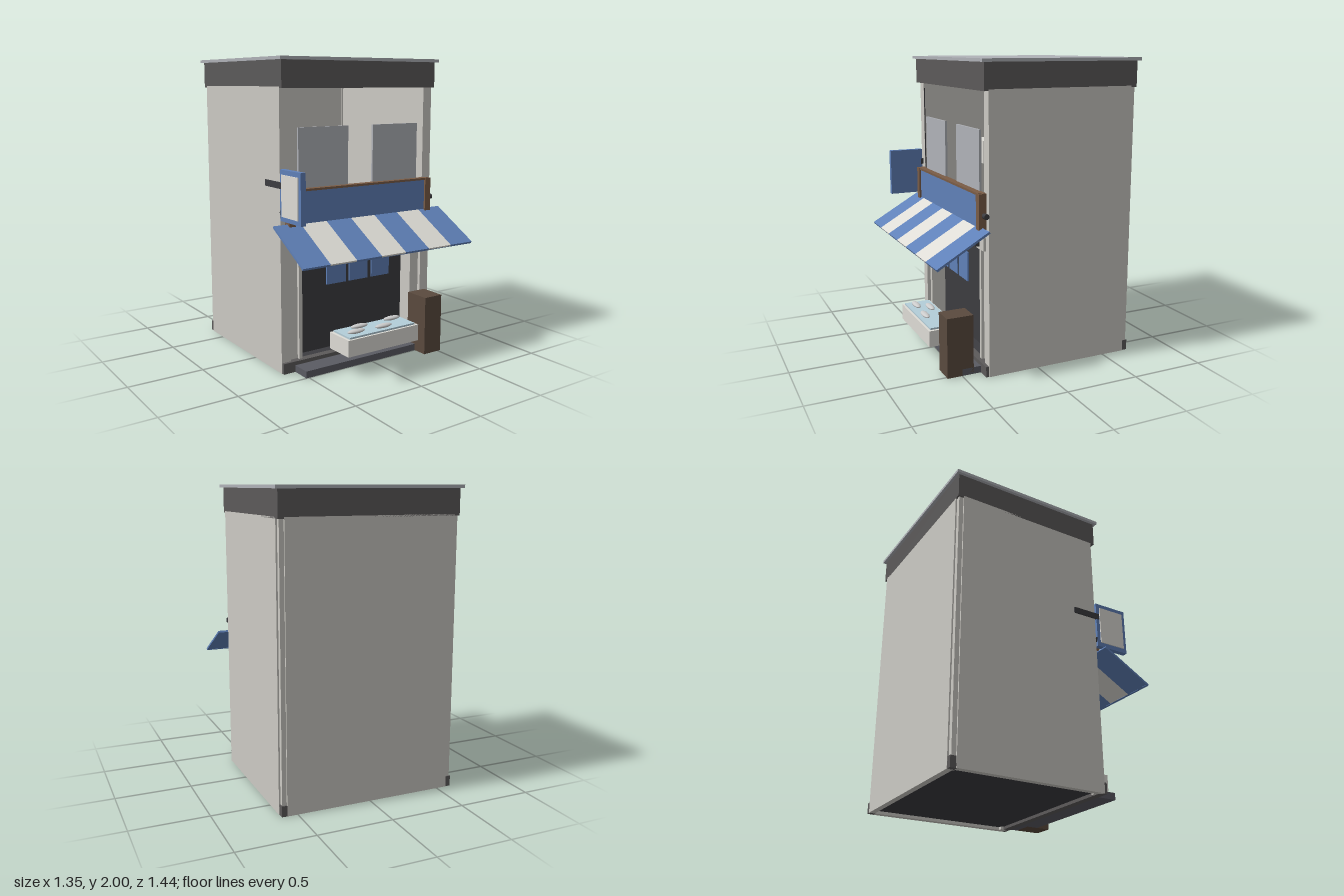
import * as THREE from 'three';

const material = (color) => new THREE.MeshStandardMaterial({ color });
const wall = material(0xcccac4);
const roofGrey = material(0xb0b2b8);
const darkGrey = material(0x5c5a5a);
const interior = material(0x3c3c40);
const stepGrey = material(0x5a5b63);
const blue = material(0x5f80b8);
const cream = material(0xdedcd6);
const wood = material(0x7a5c46);
const darkWood = material(0x5a4a3e);
const ice = material(0xb4ced9);
const fishGrey = material(0xc6c8ca);

export function createModel() {
  const model = new THREE.Group();

  // Box given by its extents along each axis
  function box(name, mat, [x0, x1], [y0, y1], [z0, z1], parent = model) {
    const mesh = new THREE.Mesh(new THREE.BoxGeometry(x1 - x0, y1 - y0, z1 - z0), mat);
    mesh.position.set((x0 + x1) / 2, (y0 + y1) / 2, (z0 + z1) / 2);
    mesh.name = name;
    parent.add(mesh);
    return mesh;
  }
  // The same box on both sides of the building
  function pair(name, mat, [x0, x1], y, z) {
    box(name + 'Left', mat, [x0, x1], y, z);
    box(name + 'Right', mat, [-x1, -x0], y, z);
  }

  // Shell: side and back walls, corner posts, roof
  pair('sideWall', wall, [0.57, 0.61], [0, 1.82], [-0.66, 0.345]);
  box('backWall', wall, [-0.57, 0.57], [0, 1.82], [-0.7, -0.66]);
  pair('backPost', wall, [0.56, 0.6], [0, 1.82], [-0.69, -0.65]);
  pair('backPostFoot', darkGrey, [0.57, 0.605], [0, 0.07], [-0.698, -0.655]);
  pair('frontPost', wall, [0.54, 0.61], [0, 1.82], [0.3, 0.35]);
  box('roofBand', darkGrey, [-0.61, 0.61], [1.81, 1.98], [-0.7, 0.38]);
  box('roofSlab', roofGrey, [-0.63, 0.63], [1.98, 2], [-0.72, 0.4]);

  // Floors and base
  box('groundFloor', interior, [-0.57, 0.57], [0.02, 0.06], [-0.66, 0.34]);
  box('upperFloor', darkGrey, [-0.57, 0.57], [0.88, 0.92], [-0.66, 0.34]);
  box('frontBaseTrim', darkGrey, [-0.605, 0.605], [0, 0.07], [0.32, 0.37]);
  box('frontStep', stepGrey, [-0.52, 0.52], [0, 0.045], [0.34, 0.5]);

  // Shopfront: recessed dark backdrop, side panels, opening frame, lintel
  box('shopBackdrop', interior, [-0.47, 0.47], [0.06, 0.88], [0.22, 0.24]);
  pair('sidePanel', wall, [0.47, 0.54], [0.07, 0.88], [0.28, 0.325]);
  pair('openingFrame', wall, [0.45, 0.475], [0.07, 0.88], [0.23, 0.345]);
  box('lintel', wall, [-0.56, 0.56], [0.82, 0.97], [0.31, 0.365]);

  // Upper storey: window panes, unit behind one pane, drain pipe
  pair('windowPane', roofGrey, [0.1, 0.48], [0.97, 1.57], [0.342, 0.357]);
  box('wallUnit', cream, [0.3, 0.485], [1.36, 1.5], [0.19, 0.33]);
  const pipe = new THREE.Mesh(new THREE.CylinderGeometry(0.005, 0.005, 0.8, 8), interior);
  pipe.position.set(-0.543, 1.37, 0.345);
  pipe.name = 'drainPipe';
  model.add(pipe);

  // Sign board with wooden ends, top rail and end knobs
  box('signBoard', blue, [-0.53, 0.53], [0.97, 1.178], [0.355, 0.39]);
  box('signTopRail', wood, [-0.56, 0.56], [1.176, 1.19], [0.35, 0.4]);
  pair('signEnd', wood, [0.528, 0.575], [0.96, 1.188], [0.345, 0.402]);
  for (const side of [-1, 1]) {
    const knob = new THREE.Mesh(new THREE.CylinderGeometry(0.018, 0.018, 0.05, 12), interior);
    knob.rotation.z = Math.PI / 2;
    knob.position.set(side * 0.587, 1.05, 0.365);
    knob.name = 'signKnob';
    model.add(knob);
  }

  // Striped sloping awning, hinged at its upper back edge
  const awning = new THREE.Group();
  awning.name = 'awning';
  const stripes = 7, width = 1.35, stripe = width / stripes;
  const drop = 0.197, reach = 0.343, length = Math.hypot(drop, reach);
  for (let i = 0; i < stripes; i++) {
    const x = -width / 2 + i * stripe;
    box('awningStripe', i % 2 ? cream : blue, [x, x + stripe], [-0.007, 0.007], [0, length], awning);
  }
  box('awningEdge', blue, [-width / 2, width / 2], [-0.009, -0.005], [length - 0.012, length], awning);
  awning.rotation.x = Math.atan2(drop, reach);
  awning.position.set(0, 0.969, 0.373);
  model.add(awning);
  box('awningRoller', interior, [-0.5, 0.5], [0.84, 0.95], [0.365, 0.395]);

  // Projecting side sign
  box('sideSign', blue, [-0.615, -0.58], [1, 1.32], [0.36, 0.6]);
  box('sideSignFace', cream, [-0.622, -0.614], [1.03, 1.29], [0.385, 0.575]);
  box('sideSignBracket', interior, [-0.62, -0.605], [1.2, 1.24], [0.18, 0.38]);
  box('sideSignMount', interior, [-0.605, -0.575], [1.21, 1.25], [0.34, 0.37]);

  // Door curtain in three pieces
  for (const x of [-0.185, -0.003, 0.18]) {
    box('curtainPanel', blue, [x - 0.076, x + 0.076], [0.535, 0.735], [0.338, 0.348]);
  }

  // Fish counter with ice and fish
  box('fishCounter', cream, [-0.29, 0.285], [0.13, 0.24], [0.425, 0.635]);
  box('iceBed', ice, [-0.27, 0.265], [0.238, 0.252], [0.44, 0.62]);
  for (const [x, z] of [[-0.18, 0.565], [-0.1, 0.49], [0.035, 0.575], [0.178, 0.48]]) {
    const fish = new THREE.Mesh(new THREE.SphereGeometry(1, 16, 10), fishGrey);
    fish.scale.set(0.068, 0.014, 0.024);
    fish.position.set(x, 0.264, z);
    fish.name = 'fish';
    model.add(fish);
  }

  // Standing box beside the counter
  box('standingBox', darkWood, [0.375, 0.52], [0, 0.4], [0.42, 0.6]);

  return model;
}
